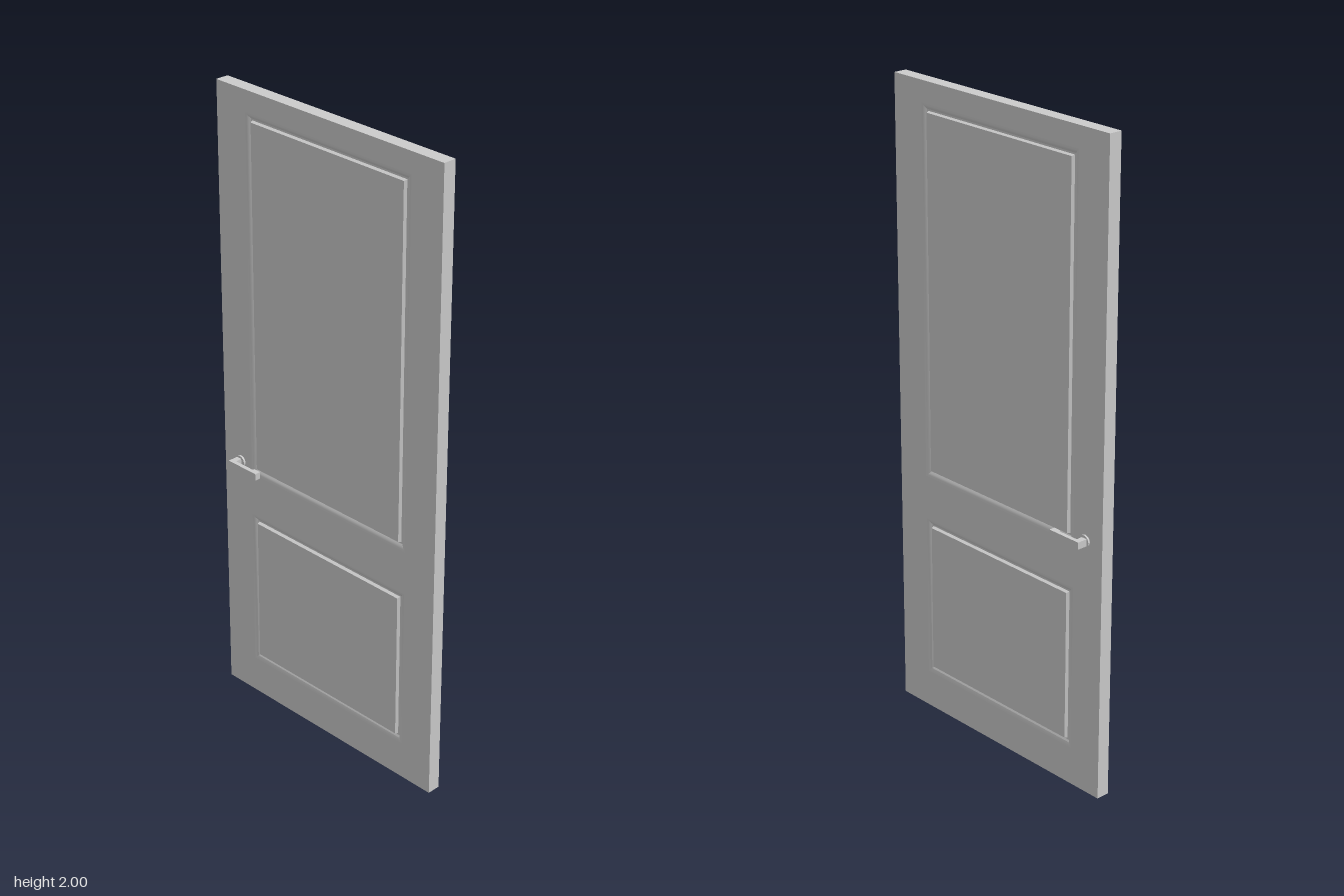
import * as THREE from 'three';
import { toCreasedNormals } from 'three/addons/utils/BufferGeometryUtils.js';

const W = 0.865, H = 2, T = 0.042;           // door leaf size
const PANELS = [[0.12, 0.645], [0.785, 1.935]]; // bottom and top of each panel
const PANEL_HALF = 0.318;

// moulding section: [inset from the panel outline, height above the leaf face]
const MOULDING = [[0, 0], [0.006, -0.001], [0.012, -0.004], [0.017, -0.008], [0.022, -0.008], [0.025, 0.002]];

const material = new THREE.MeshStandardMaterial({ color: 0xcccccc });

function mesh(geometry, name) {
  const m = new THREE.Mesh(geometry, material);
  m.name = name;
  return m;
}

// Skin through rectangular loops [x0, x1, y0, y1, z], optionally closing the last one
function rectLoft(loops, cap) {
  const pos = [], idx = [];
  for (const [x0, x1, y0, y1, z] of loops) pos.push(x0, y0, z, x1, y0, z, x1, y1, z, x0, y1, z);
  for (let i = 0; i < loops.length - 1; i++) {
    for (let k = 0; k < 4; k++) {
      const a = i * 4 + k, b = i * 4 + (k + 1) % 4;
      idx.push(a, b, b + 4, a, b + 4, a + 4);
    }
  }
  if (cap) {
    const n = (loops.length - 1) * 4;
    idx.push(n, n + 1, n + 2, n, n + 2, n + 3);
  }
  const g = new THREE.BufferGeometry();
  g.setAttribute('position', new THREE.Float32BufferAttribute(pos, 3));
  g.setIndex(idx);
  return toCreasedNormals(g, 0.6);
}

function rectPath(path, x0, x1, y0, y1) {
  path.moveTo(x0, y0).lineTo(x1, y0).lineTo(x1, y1).lineTo(x0, y1).closePath();
  return path;
}

// One face of the leaf: flat frame, moulded grooves and raised panels
function doorFace() {
  const face = new THREE.Group();
  face.name = 'doorFace';
  const shape = rectPath(new THREE.Shape(), -W / 2, W / 2, 0, H);
  PANELS.forEach(([y0, y1], i) => {
    shape.holes.push(rectPath(new THREE.Path(), -PANEL_HALF, PANEL_HALF, y0, y1));
    const loops = MOULDING.map(([d, h]) => [-PANEL_HALF + d, PANEL_HALF - d, y0 + d, y1 - d, T / 2 + h]);
    face.add(mesh(rectLoft(loops, true), i ? 'upperPanel' : 'lowerPanel'));
  });
  const frame = mesh(new THREE.ShapeGeometry(shape), 'frameFace');
  frame.position.z = T / 2;
  face.add(frame);
  return face;
}

// Lever handle with its round rose, centred on y = 0
function doorHandle() {
  const handle = new THREE.Group();
  handle.name = 'handle';
  const rose = mesh(new THREE.CylinderGeometry(0.019, 0.019, 0.006, 32), 'rose');
  rose.rotation.x = Math.PI / 2;
  rose.position.set(-0.364, 0, T / 2 + 0.003);
  // plan outline in (x, z): stem, grip and short return at the tip
  const plan = [[-0.376, 0.024], [-0.357, 0.024], [-0.357, 0.047], [-0.285, 0.047],
    [-0.285, 0.041], [-0.26, 0.041], [-0.26, 0.06], [-0.376, 0.06]];
  const outline = new THREE.Shape(plan.map(([x, z]) => new THREE.Vector2(x, z)));
  const lever = new THREE.ExtrudeGeometry(outline, { depth: 0.022, bevelEnabled: false });
  lever.translate(0, 0, -0.011).rotateX(Math.PI / 2);
  handle.add(rose, mesh(lever, 'lever'));
  return handle;
}

export function createModel() {
  const model = new THREE.Group();
  model.name = 'door';

  const edge = [-T / 2, T / 2].map((z) => [-W / 2, W / 2, 0, H, z]);
  model.add(mesh(rectLoft(edge, false), 'leafEdges'));

  // front and back share the same face and handle
  const frontFace = doorFace(), backFace = doorFace();
  backFace.rotation.y = Math.PI;
  const frontHandle = doorHandle(), backHandle = doorHandle();
  backHandle.rotation.x = Math.PI;
  for (const h of [frontHandle, backHandle]) h.position.y = 0.81;
  model.add(frontFace, backFace, frontHandle, backHandle);

  // the door stands ajar
  model.rotation.y = -0.323;
  model.position.z = 0.0075;
  const root = new THREE.Group();
  root.add(model);
  return root;
}
